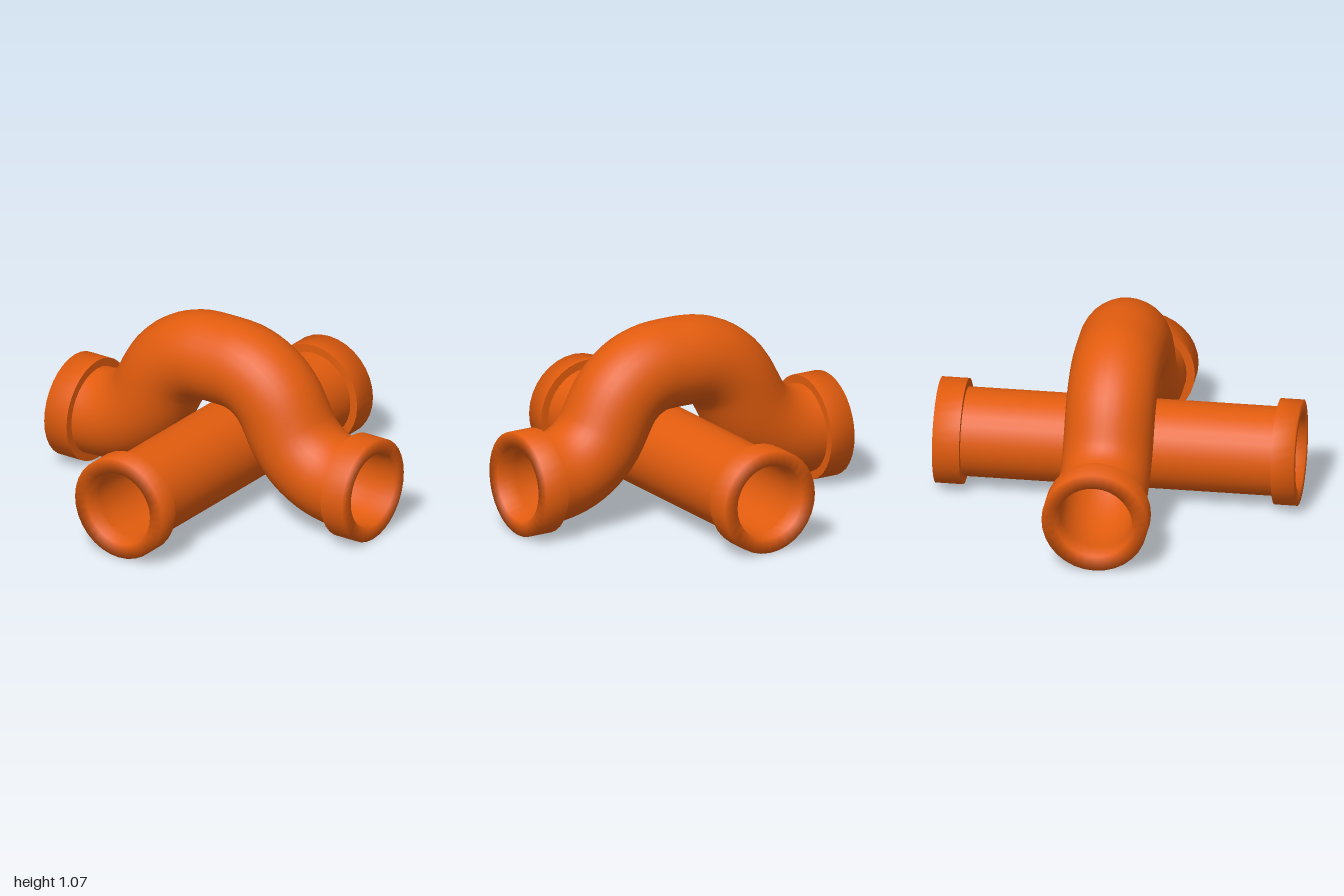
import * as THREE from 'three';

const AXIS_Y = 0.293;   // height of the pipe axes
const OUTER = 0.247;
const INNER = 0.21;
const COLLAR = 0.293;
const SIDES = 32;

// Half of the bridge path in the z-y plane: crown bend, short straight, foot bend
function bridgePoints() {
  const crown = { z: 0.07, y: 0.45, r: 0.37 };
  const foot = { z: 0.83, y: AXIS_Y + 0.43, r: 0.43 };
  const dz = foot.z - crown.z, dy = foot.y - crown.y;
  // angle at which the common tangent leaves the crown bend
  const phi = Math.atan2(dy, dz) + Math.acos((crown.r + foot.r) / Math.hypot(dz, dy));
  const half = [];
  const steps = 9;
  for (let i = 0; i <= steps; i++) {
    const a = Math.PI / 2 + (phi - Math.PI / 2) * (i / steps);
    half.push(new THREE.Vector3(0, crown.y + crown.r * Math.sin(a), crown.z + crown.r * Math.cos(a)));
  }
  for (let i = 0; i <= steps; i++) {
    const a = phi + Math.PI + (Math.PI / 2 - phi) * (i / steps);
    half.push(new THREE.Vector3(0, foot.y + foot.r * Math.sin(a), foot.z + foot.r * Math.cos(a)));
  }
  half.push(new THREE.Vector3(0, AXIS_Y, 0.9));
  const mirrored = half.map(p => new THREE.Vector3(0, p.y, -p.z)).reverse();
  return [...mirrored, ...half];
}

export function createModel() {
  const model = new THREE.Group();
  model.name = 'crossingPipes';
  const orange = new THREE.MeshStandardMaterial({ color: 0xe25c0e, side: THREE.DoubleSide });
  orange.name = 'orange';

  const add = (geometry, name) => {
    const mesh = new THREE.Mesh(geometry, orange);
    mesh.name = name;
    model.add(mesh);
    return mesh;
  };

  // Straight pipe along x, outer and inner walls
  for (const [radius, name] of [[OUTER, 'straightPipeOuter'], [INNER, 'straightPipeInner']]) {
    const pipe = add(new THREE.CylinderGeometry(radius, radius, 1.8, SIDES, 1, true), name);
    pipe.rotation.z = Math.PI / 2;
    pipe.position.y = AXIS_Y;
  }

  // Bridge pipe arching over it along z
  const path = new THREE.CatmullRomCurve3(bridgePoints(), false, 'centripetal');
  add(new THREE.TubeGeometry(path, 56, OUTER, SIDES), 'bridgePipeOuter');
  add(new THREE.TubeGeometry(path, 56, INNER, SIDES), 'bridgePipeInner');

  // Collars: a flat back shoulder, and a sleeve whose rim turns into the bore
  const addCollar = (name, back, rx, rz) => {
    const group = new THREE.Group();
    group.name = name;
    const lathe = (points, part) => {
      const geometry = new THREE.LatheGeometry(points.map(p => new THREE.Vector2(...p)), SIDES);
      const mesh = new THREE.Mesh(geometry, orange);
      mesh.name = part;
      group.add(mesh);
    };
    lathe([[OUTER - 0.01, back], [COLLAR, back]], 'collarShoulder');
    lathe([[COLLAR, back], [COLLAR, 1], [INNER, 1], [INNER, 0.88]], 'collarSleeve');
    group.rotation.set(rx, 0, rz);
    group.position.y = AXIS_Y;
    model.add(group);
  };
  const q = Math.PI / 2;
  addCollar('leftCollar', 0.85, 0, -q);
  addCollar('rightCollar', 0.875, 0, q);
  addCollar('frontCollar', 0.855, q, 0);
  addCollar('backCollar', 0.85, -q, 0);

  return model;
}
